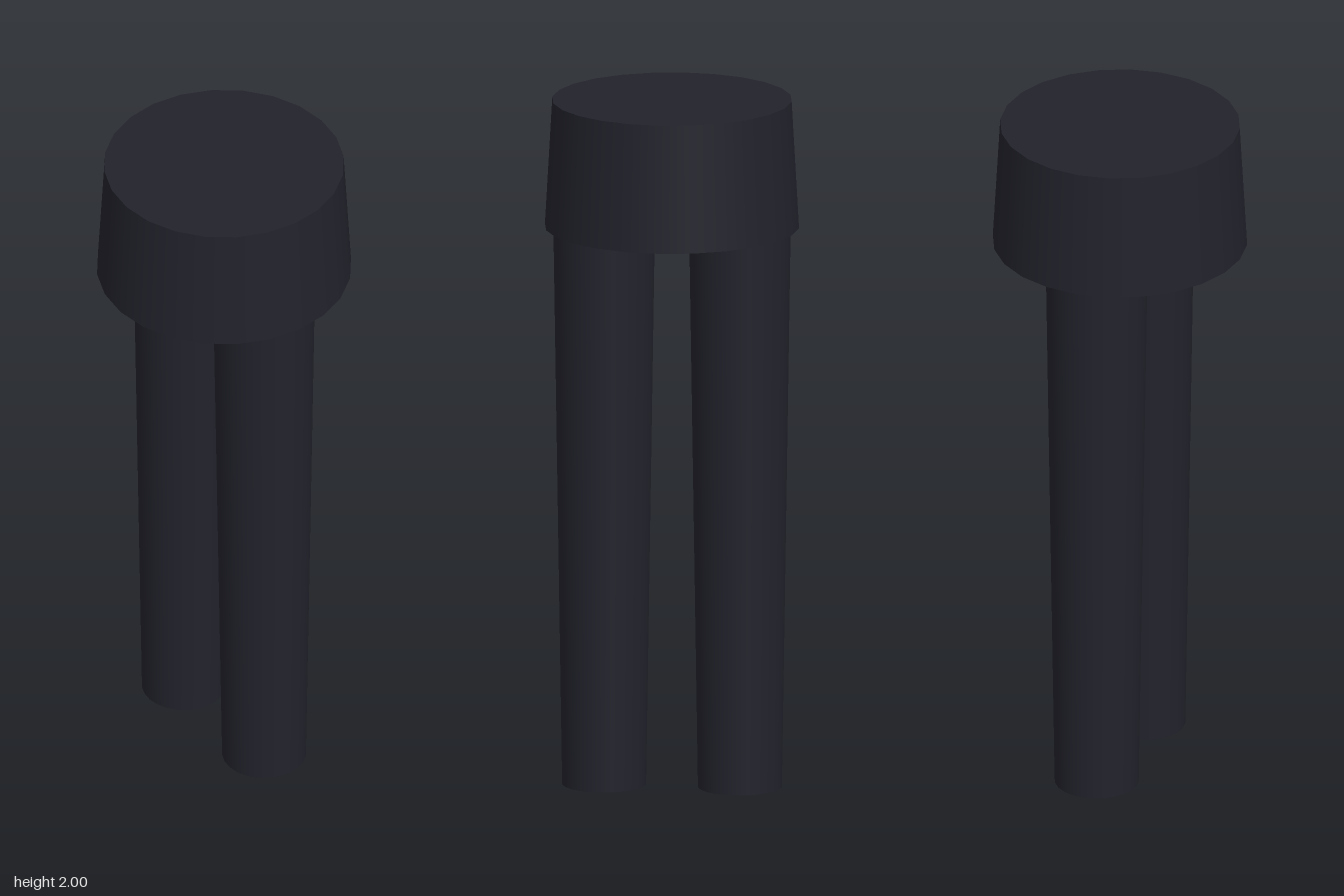
import * as THREE from 'three';

export function createModel() {
  const model = new THREE.Group();
  const darkCloth = new THREE.MeshStandardMaterial({ color: 0x22222c });
  darkCloth.name = 'darkCloth';

  // Tapered, capped cylinder standing between two heights
  function tapered(name, rTop, rBottom, y0, y1, x, sides) {
    const mesh = new THREE.Mesh(
      new THREE.CylinderGeometry(rTop, rBottom, y1 - y0, sides), darkCloth);
    mesh.name = name;
    mesh.position.set(x, (y0 + y1) / 2, 0);
    model.add(mesh);
  }

  // Hips, flaring slightly towards the bottom
  tapered('hips', 0.342, 0.363, 1.631, 2, 0, 24);

  // Legs, narrowing to the ankles, with a hairline gap below the hips
  for (const [name, side] of [['leftLeg', 1], ['rightLeg', -1]]) {
    tapered(name, 0.145, 0.12, 0, 1.622, side * 0.194, 24);
  }

  return model;
}
